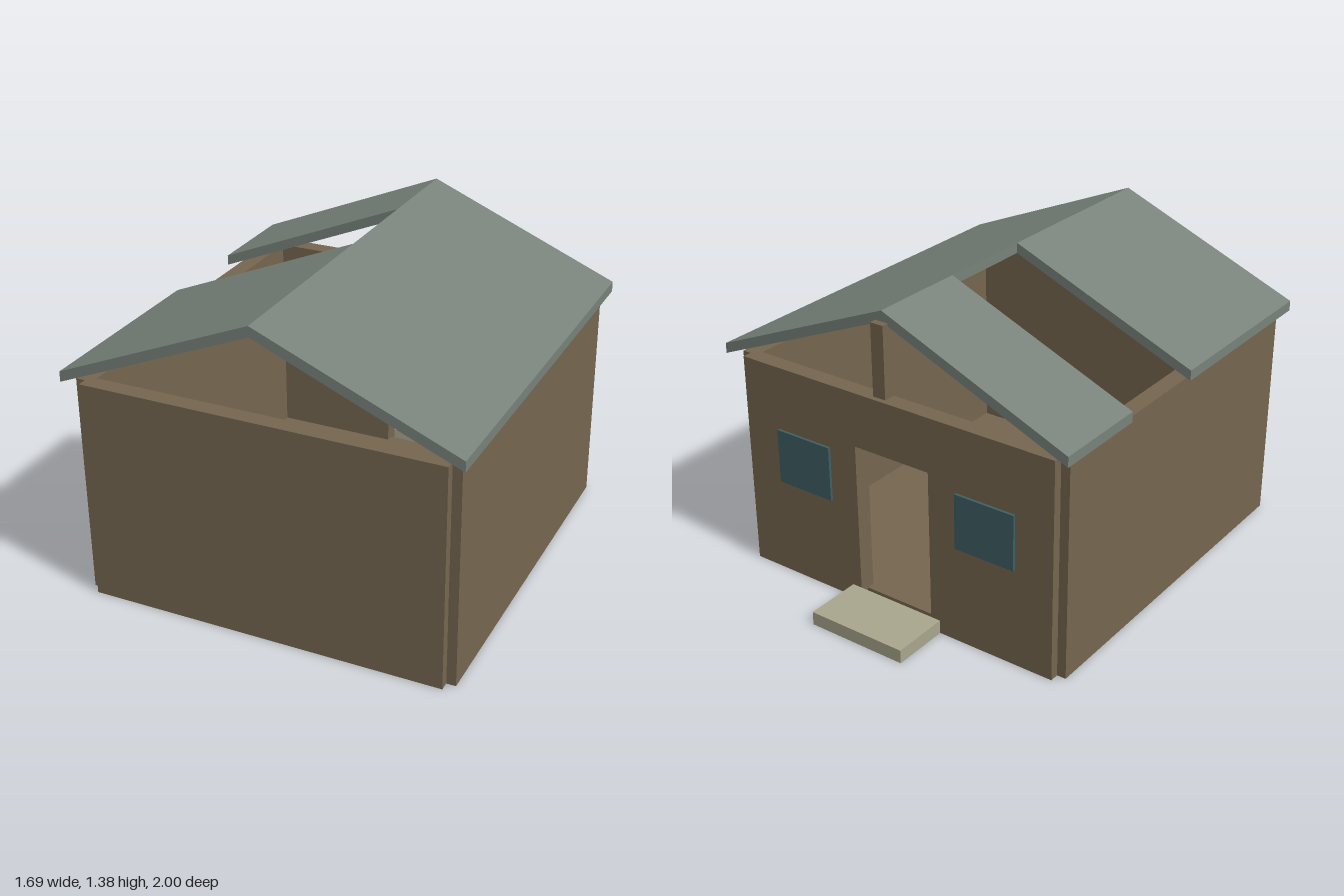
import * as THREE from 'three';

const material = (color) => new THREE.MeshStandardMaterial({ color, flatShading: true });
const wood = material(0x75664f);
const roofing = material(0x78827a);
const stone = material(0xa8a68c);
const glass = material(0x3f5f63);

// Box given by its minimum and maximum corners
function box(name, mat, [x0, y0, z0], [x1, y1, z1]) {
  const mesh = new THREE.Mesh(new THREE.BoxGeometry(x1 - x0, y1 - y0, z1 - z0), mat);
  mesh.name = name;
  mesh.position.set((x0 + x1) / 2, (y0 + y1) / 2, (z0 + z1) / 2);
  return mesh;
}

// Outline in x and y, pulled from z0 to z1
function slab(name, mat, points, z0, z1) {
  const shape = new THREE.Shape(points.map(([x, y]) => new THREE.Vector2(x, y)));
  const geometry = new THREE.ExtrudeGeometry(shape, { depth: z1 - z0, bevelEnabled: false });
  const mesh = new THREE.Mesh(geometry, mat);
  mesh.name = name;
  mesh.position.z = z0;
  return mesh;
}

export function createModel() {
  const house = new THREE.Group();
  house.name = 'house';

  // Walls overlap at the corners, leaving a small notch outside
  const H = 0.97, mid = 0.775, out = 0.815, inner = 0.74;
  const back = -0.745, front = 0.98, thick = 0.075;
  house.add(box('floor', wood, [-mid, 0, -0.705], [mid, 0.04, 0.94]));
  house.add(box('frontWall', wood, [-mid, 0, front - thick], [mid, H, front]));
  house.add(box('leftWall', wood, [inner, 0, -0.705], [out, H, 0.94]));
  house.add(box('rightWall', wood, [-out, 0, -0.705], [-inner, H, 0.94]));

  // Back wall outline runs around the doorway
  const doorX = 0.185, doorY = 0.73;
  house.add(slab('backWall', wood, [
    [-mid, 0], [-doorX, 0], [-doorX, doorY], [doorX, doorY],
    [doorX, 0], [mid, 0], [mid, H], [-mid, H],
  ], back, back + thick));

  // Window panes on either side of the door
  for (const side of [-1, 1]) {
    const x = side * 0.46;
    house.add(box(side > 0 ? 'leftWindow' : 'rightWindow', glass,
      [x - 0.14, 0.44, back - 0.012], [x + 0.14, 0.685, back + 0.02]));
  }

  house.add(box('doorstep', stone, [-0.23, 0, -1], [0.23, 0.06, back]));
  house.add(box('gablePost', wood, [-0.03, 1.02, -0.8], [0.03, 1.33, -0.74]));

  // Roof slopes; the right one has an open bay
  const slope = [[0, 1.33], [0.847, 0.975], [0.847, 1.02], [0, 1.375]];
  const mirrored = slope.map(([x, y]) => [-x, y]);
  house.add(slab('leftRoof', roofing, slope, -0.77, 1));
  house.add(slab('rightRoofBack', roofing, mirrored, -0.77, -0.33));
  house.add(slab('rightRoofFront', roofing, mirrored, 0.115, 1));

  return house;
}
